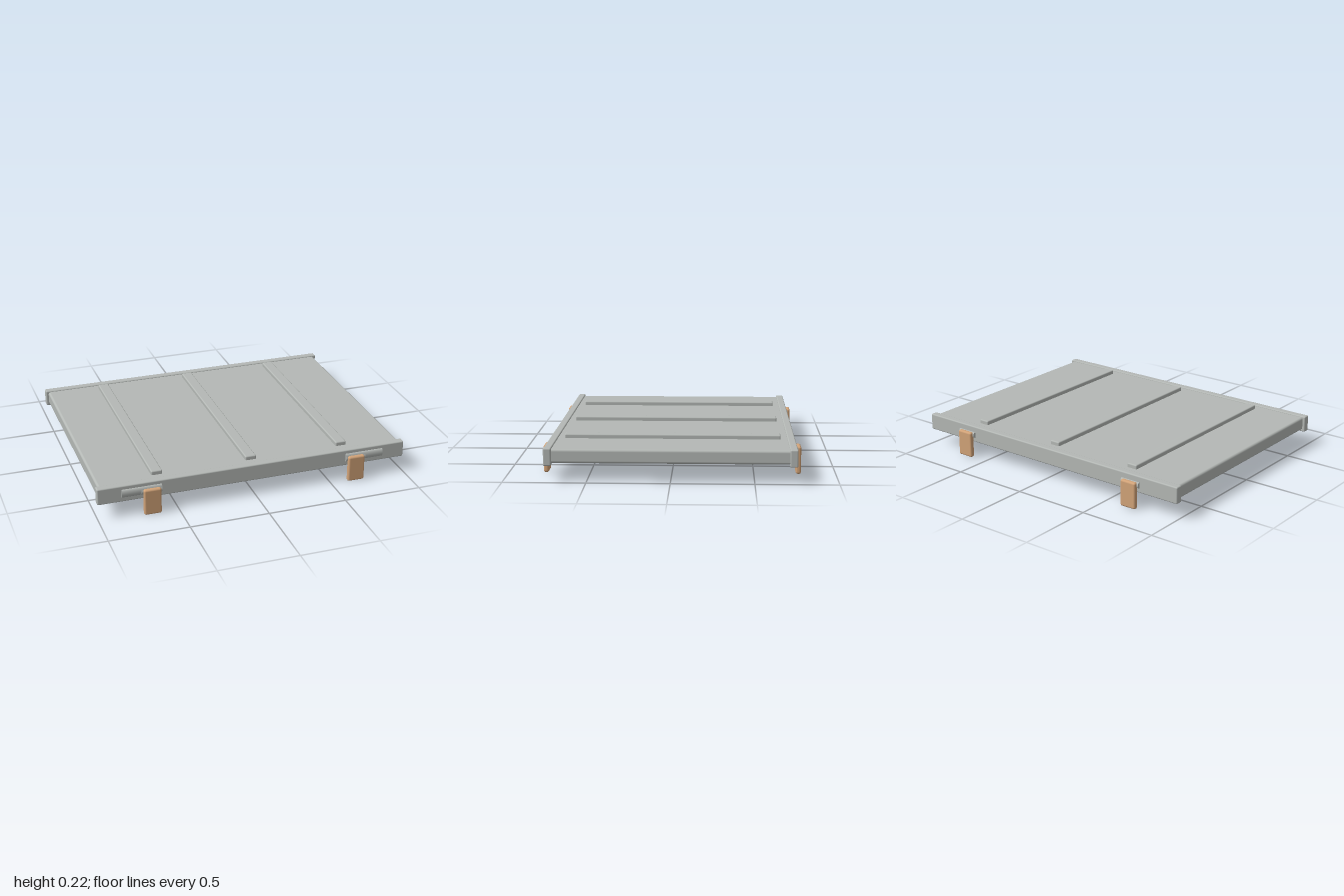
import * as THREE from 'three';
import { RoundedBoxGeometry } from 'three/addons/geometries/RoundedBoxGeometry.js';

export function createModel() {
  const model = new THREE.Group();
  model.name = 'ribbedPanel';
  const grey = new THREE.MeshStandardMaterial({ name: 'grey metal', color: 0xb4b8b5 });
  const tan = new THREE.MeshStandardMaterial({ name: 'tan latch', color: 0xd2a378 });

  const box = (name, w, h, d, r, x, y, z, mat) => {
    const mesh = new THREE.Mesh(new RoundedBoxGeometry(w, h, d, 3, r), mat);
    mesh.name = name;
    mesh.position.set(x, y, z);
    model.add(mesh);
  };

  // Horizontal rod along x, flattened in depth
  const rod = (name, x0, x1, y, z, r, depth) => {
    const geo = new THREE.CylinderGeometry(r, r, x1 - x0, 20);
    geo.rotateZ(Math.PI / 2);
    geo.scale(1, 1, depth);
    const mesh = new THREE.Mesh(geo, grey);
    mesh.name = name;
    mesh.position.set((x0 + x1) / 2, y, z);
    model.add(mesh);
  };

  // Main slab and its raised ribs
  box('panel', 1.965, 0.085, 1.46, 0.015, 0, 0.1575, 0, grey);
  for (const x of [-0.605, 0, 0.605]) {
    box('rib', 0.07, 0.045, 1.33, 0.008, x, 0.2035, 0, grey);
  }

  for (const side of [1, -1]) {
    // Edge rails along front and back
    box(side > 0 ? 'frontRail' : 'backRail', 2, 0.106, 0.047, 0.008, 0, 0.155, side * 0.73, grey);
    for (const s of [-1, 1]) {
      // Hanging latches with their hinge pins
      box('latch', 0.11, 0.17, 0.032, 0.012, s * 0.665, 0.086, side * 0.772, tan);
      rod('hingePin', s * 0.665 - 0.065, s * 0.665 + 0.065, 0.152, side * 0.756, 0.019, 0.75);
      // Half-round bars on the front only
      if (side > 0) rod('latchBar', s * 0.725 - 0.125, s * 0.725 + 0.125, 0.158, 0.754, 0.026, 0.5);
    }
  }
  return model;
}
